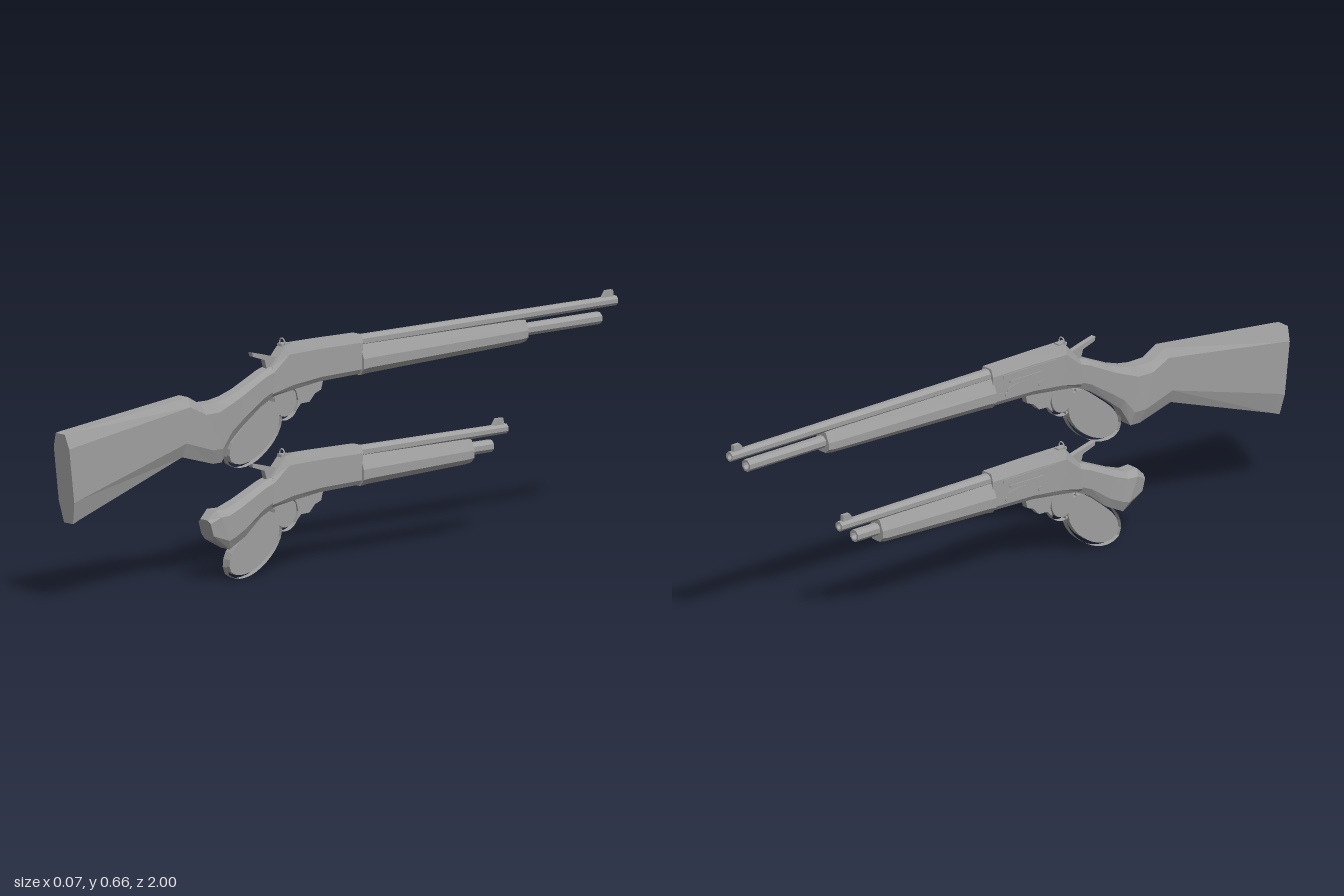
import * as THREE from 'three';

const metal = new THREE.MeshStandardMaterial({ color: 0xa0a0a0, flatShading: true, side: THREE.DoubleSide });
metal.name = 'plain grey';

function add(group, name, geometry, x = 0, y = 0, z = 0) {
  const mesh = new THREE.Mesh(geometry, metal);
  mesh.name = name;
  mesh.position.set(x, y, z);
  group.add(mesh);
  return mesh;
}

// Chamfered eight-sided body; each station is [zTop, yTop, zBottom, yBottom, halfWidth], z increasing
function loft(stations, low, high, narrow = 0.55) {
  const ring = [[narrow, 0], [1, low], [1, 1 - high], [narrow, 1], [-narrow, 1], [-1, 1 - high], [-1, low], [-narrow, 0]];
  const n = ring.length;
  const pts = stations.map(([zt, yt, zb, yb, w]) =>
    ring.map(([x, t]) => [x * w, yb + (yt - yb) * t, zb + (zt - zb) * t]));
  const out = [];
  const tri = (a, b, c) => out.push(...a, ...b, ...c);
  for (let i = 0; i < pts.length - 1; i++) {
    for (let j = 0; j < n; j++) {
      const k = (j + 1) % n;
      tri(pts[i][j], pts[i][k], pts[i + 1][k]);
      tri(pts[i][j], pts[i + 1][k], pts[i + 1][j]);
    }
  }
  const first = pts[0], last = pts[pts.length - 1];
  for (let j = 1; j < n - 1; j++) {
    tri(first[0], first[j + 1], first[j]);
    tri(last[0], last[j], last[j + 1]);
  }
  const geometry = new THREE.BufferGeometry();
  geometry.setAttribute('position', new THREE.Float32BufferAttribute(out, 3));
  geometry.computeVertexNormals();
  return geometry;
}

// Side profile in (z, y), extruded evenly about x = 0
function plate(shape, thickness) {
  const g = new THREE.ExtrudeGeometry(shape, { depth: thickness, bevelEnabled: false, curveSegments: 8 });
  g.translate(0, 0, -thickness / 2);
  g.rotateY(-Math.PI / 2);
  return g;
}
const outline = (points) => new THREE.Shape(points.map(([z, y]) => new THREE.Vector2(z, y)));

// Flat closed band following a smooth loop in (z, y)
function band(points, wall, width) {
  const curve = new THREE.CatmullRomCurve3(points.map(([z, y]) => new THREE.Vector3(z, y, 0)), true);
  const outer = [], inner = [];
  for (let i = 0; i < 28; i++) {
    const p = curve.getPointAt(i / 28), t = curve.getTangentAt(i / 28);
    outer.push([p.x + t.y * wall / 2, p.y - t.x * wall / 2]);
    inner.push([p.x - t.y * wall / 2, p.y + t.x * wall / 2]);
  }
  const shape = outline(outer);
  shape.holes.push(new THREE.Path(inner.map(([z, y]) => new THREE.Vector2(z, y))));
  return plate(shape, width);
}

// Hollow eight-sided tube running from zBack forward to zFront
function tube(zBack, zFront, rBack, rFront, bore) {
  const length = zBack - zFront;
  const g = new THREE.LatheGeometry([
    [0.0001, 0], [rBack, 0], [rFront, length], [bore, length], [bore, length - 0.04], [0.0001, length - 0.04],
  ].map(([r, h]) => new THREE.Vector2(r, h)), 8, Math.PI / 8);
  g.rotateX(-Math.PI / 2);
  g.translate(0, 0, zBack);
  return g;
}

function buildArm({ name, muzzle, magazineEnd, foreEnd, foreBottom, stock }) {
  const arm = new THREE.Group();
  arm.name = name;

  // Receiver
  add(arm, 'receiver', loft([
    [-0.07, 0.634, -0.07, 0.524, 0.026], [0.08, 0.636, 0.08, 0.52, 0.026],
    [0.2, 0.636, 0.18, 0.508, 0.026], [0.25, 0.582, 0.255, 0.497, 0.025],
  ], 0.12, 0.2, 0.65));

  // Barrel, magazine tube and forend
  add(arm, 'barrel', tube(-0.05, muzzle, 0.018, 0.0145, 0.009), 0, 0.613);
  add(arm, 'magazineTube', tube(-0.1, magazineEnd, 0.018, 0.018, 0.012), 0, 0.571);
  add(arm, 'forend', loft([
    [foreEnd, 0.6, foreEnd, foreBottom, 0.028], [foreEnd + 0.02, 0.602, foreEnd + 0.02, foreBottom - 0.003, 0.03],
    [-0.09, 0.605, -0.09, 0.523, 0.035], [-0.065, 0.605, -0.065, 0.52, 0.035],
  ], 0.22, 0.45));

  // Stock or grip
  add(arm, 'stock', loft(stock, 0.24, 0.16, 0.58));

  // Sights
  add(arm, 'rearSightBase', new THREE.BoxGeometry(0.02, 0.008, 0.03), 0, 0.636, 0.195);
  add(arm, 'rearSightRing', new THREE.TorusGeometry(0.0105, 0.0025, 4, 12), 0, 0.643, 0.2);
  add(arm, 'frontSightRamp', plate(outline([
    [muzzle + 0.05, 0.622], [muzzle + 0.035, 0.644], [muzzle + 0.012, 0.644], [muzzle + 0.01, 0.622],
  ]), 0.012));

  // Hammer and trigger
  add(arm, 'hammer', plate(outline([
    [0.21, 0.6], [0.235, 0.607], [0.26, 0.614], [0.315, 0.628], [0.312, 0.616],
    [0.27, 0.602], [0.262, 0.575], [0.225, 0.57],
  ]), 0.016));
  add(arm, 'trigger', plate(outline([
    [0.215, 0.51], [0.195, 0.51], [0.195, 0.475], [0.182, 0.452], [0.19, 0.45], [0.207, 0.473],
  ]), 0.008));

  // Finger lever, trigger guard and lever hinge
  add(arm, 'leverLoop', band([
    [0.395, 0.33], [0.36, 0.316], [0.305, 0.327], [0.24, 0.375], [0.213, 0.425],
    [0.222, 0.478], [0.262, 0.49], [0.33, 0.446], [0.388, 0.393], [0.402, 0.357],
  ], 0.01, 0.018));
  add(arm, 'triggerGuard', band([
    [0.236, 0.5], [0.234, 0.455], [0.205, 0.43], [0.172, 0.437], [0.152, 0.468], [0.158, 0.506], [0.2, 0.515],
  ], 0.011, 0.018));
  add(arm, 'leverHinge', plate(outline([
    [0.16, 0.445], [0.14, 0.465], [0.11, 0.466], [0.09, 0.487], [0.068, 0.495],
    [0.058, 0.53], [0.18, 0.53], [0.157, 0.5], [0.15, 0.475],
  ]), 0.02));

  // Ejection port, slot, loading gate and screws on the right side
  const side = (part, w, h, y, z) => add(arm, part, new THREE.BoxGeometry(0.005, h, w), -0.026, y, z);
  side('bolt', 0.19, 0.01, 0.604, 0.06);
  side('portEdge', 0.12, 0.006, 0.584, 0.05);
  const gate = new THREE.Shape();
  gate.absellipse(0.025, 0.561, 0.045, 0.013, 0, Math.PI * 2);
  add(arm, 'loadingGate', plate(gate, 0.004), -0.026);
  for (const z of [-0.02, 0.1]) {
    const screw = new THREE.CylinderGeometry(0.007, 0.007, 0.004, 8);
    screw.rotateZ(Math.PI / 2);
    add(arm, 'screw', screw, -0.027, 0.55, z);
  }
  return arm;
}

export function createModel() {
  const model = new THREE.Group();
  model.name = 'leverActionPair';

  // Long arm with a full shoulder stock
  const long = buildArm({
    name: 'longArm', muzzle: -1, magazineEnd: -0.94, foreEnd: -0.665, foreBottom: 0.541,
    stock: [
      [0.23, 0.588, 0.23, 0.502, 0.024], [0.28, 0.572, 0.29, 0.475, 0.026], [0.37, 0.53, 0.36, 0.425, 0.027],
      [0.415, 0.515, 0.4, 0.392, 0.029], [0.455, 0.508, 0.433, 0.337, 0.031], [0.508, 0.508, 0.465, 0.337, 0.033],
      [0.556, 0.535, 0.577, 0.369, 0.033], [0.98, 0.487, 0.945, 0.24, 0.033], [1, 0.484, 0.97, 0.23, 0.033],
    ],
  });

  // Short arm with a cut-down grip
  const short = buildArm({
    name: 'shortArm', muzzle: -0.605, magazineEnd: -0.55, foreEnd: -0.47, foreBottom: 0.537,
    stock: [
      [0.23, 0.588, 0.23, 0.502, 0.024], [0.28, 0.572, 0.29, 0.475, 0.026], [0.37, 0.532, 0.345, 0.43, 0.028],
      [0.42, 0.514, 0.385, 0.41, 0.031], [0.455, 0.515, 0.405, 0.4, 0.033], [0.482, 0.49, 0.465, 0.432, 0.026],
    ],
  });
  short.position.y = -0.31;

  model.add(long, short);
  return model;
}
